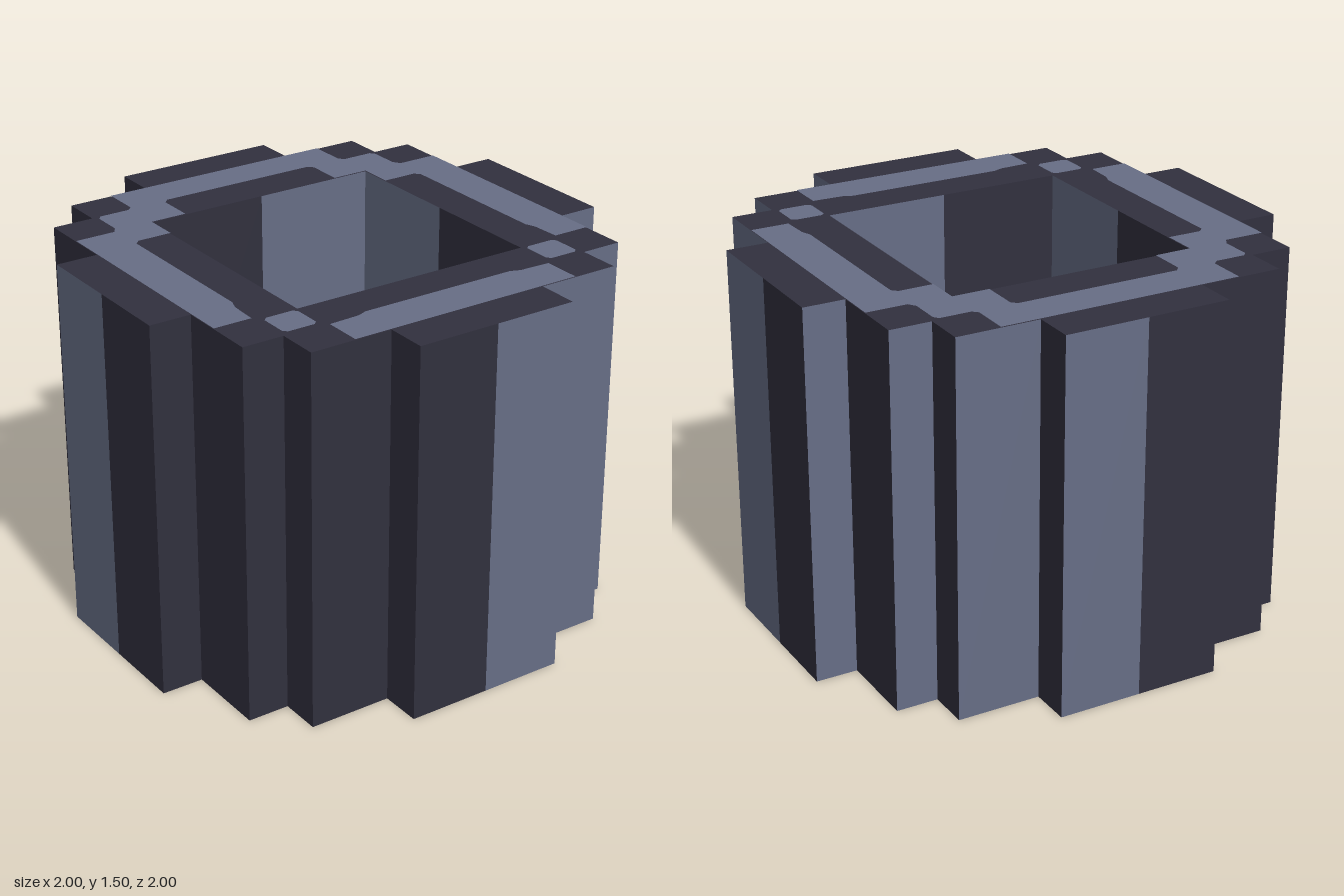
import * as THREE from 'three';

const H = 1.5, LEDGE = 0.17, FLOOR = 0.01;
const A = 1 / 3, B = 2 / 3, C = 5 / 6;

export function createModel() {
  const root = new THREE.Group();
  const slate = new THREE.MeshStandardMaterial({ color: 0x676e86 });
  slate.name = 'slate blue';
  const dark = new THREE.MeshStandardMaterial({ color: 0x31303e });
  dark.name = 'dark plum';

  const add = (name, geometry, material, parent = root) => {
    const mesh = new THREE.Mesh(geometry, material);
    mesh.name = name;
    parent.add(mesh);
  };
  // Plan points are [x, y] with y = -z, listed counterclockwise from above
  const toShape = (pts) => new THREE.Shape(pts.map(([x, y]) => new THREE.Vector2(x, y)));
  const square = (r) => [[-r, -r], [r, -r], [r, r], [-r, r]];
  const flat = (name, shape, y, material) =>
    add(name, new THREE.ShapeGeometry(shape).rotateX(-Math.PI / 2).translate(0, y, 0), material);
  // Light painted face lying just above a surface
  const inlay = (name, pts, y) => flat(name, toShape(pts), y + 0.003, slate);

  // Upright walls along a plan loop; broad sides are split in two tones at the middle
  const walls = (name, pts, y0, y1) => {
    const group = new THREE.Group();
    group.name = name;
    root.add(group);
    pts.forEach((a, i) => {
      const b = pts[(i + 1) % pts.length];
      const mid = [(a[0] + b[0]) / 2, (a[1] + b[1]) / 2];
      const crosses = (a[0] * b[0] < 0 && a[1] === b[1]) || (a[1] * b[1] < 0 && a[0] === b[0]);
      const spans = crosses ? [[a, mid], [mid, b]] : [[a, b]];
      for (const [p, q] of spans) {
        const dx = q[0] - p[0], dy = q[1] - p[1];
        const cx = (p[0] + q[0]) / 2, cz = -(p[1] + q[1]) / 2;
        let light;
        if (Math.abs(dx) > Math.abs(dy)) light = cx > 0;  // front and back faces
        else if (dy > 0) light = cz > 0;                  // faces towards +x
        else light = crosses && cz < 0;                   // faces towards -x
        const g = new THREE.PlaneGeometry(Math.hypot(dx, dy), y1 - y0);
        g.rotateY(Math.atan2(dy, dx)).translate(cx, (y0 + y1) / 2, cz);
        add(light ? 'lightWall' : 'darkWall', g, light ? slate : dark, group);
      }
    });
  };

  // Stepped outline: right half, then mirrored
  const half = [[A, -1], [A, -C], [B, -C], [B, -B], [C, -B], [C, -A], [1, -A],
    [1, A], [C, A], [C, B], [B, B], [B, C], [A, C], [A, 1]];
  const mirror = (pts) => pts.map(([x, y]) => [-x, y]).reverse();
  const outline = [...half, ...mirror(half)];

  // Outer shell
  walls('outerWalls', outline, 0, H);
  const rim = toShape(outline);
  rim.holes.push(toShape(square(0.5)));
  flat('topRim', rim, H, dark);

  // Underside in two tones, with a small dark corner mark in the light half
  const base = (name, shape, material) =>
    add(name, new THREE.ShapeGeometry(shape).rotateX(Math.PI / 2).scale(1, 1, 1), material);
  const flip = (pts, s) => pts.map(([x, y]) => [x * s, -y]);
  const halfPlan = [[0, -1], ...half, [0, 1]];
  const mark = [[0.5, 0.5], [A, 0.5], [0.5, A]];
  const lightBase = toShape(flip(halfPlan, 1));
  lightBase.holes.push(toShape(flip(mark, 1)));
  base('baseLight', lightBase, slate);
  base('baseMark', toShape(flip(mark, 1)), dark);
  base('baseDark', toShape(flip(halfPlan, -1)), dark);

  // Square well with a ledge and a recessed floor
  walls('wellWalls', square(0.5).reverse(), LEDGE, H);
  const ledge = toShape(square(0.5));
  ledge.holes.push(toShape(square(A)));
  flat('wellLedge', ledge, LEDGE, dark);
  walls('recessWalls', square(A).reverse(), FLOOR, LEDGE);
  flat('wellFloor', toShape(square(A)), FLOOR, dark);

  // Light inlay running round the back and sides of the rim
  const band = [[0.33, 0.67], [0.35, 0.65], [0.35, 0.5], [0.5, 0.5], [0.5, 0.36],
    [0.64, 0.36], [0.66, 0.34], [0.66, -0.33], [0.675, -0.37], [0.68, -0.485], [C, -0.485],
    [C, 0.49], [0.67, 0.49], [0.65, 0.52], [0.65, 0.64], [0.635, 0.66], [0.51, 0.66],
    [0.49, 0.68], [0.49, C]];
  inlay('rimBand', [...band, ...mirror(band)], H);

  // Front bar and corner studs
  const bar = [[0.485, -C], [0.485, -0.68], [0.36, -0.675], [0.32, -0.66]];
  inlay('frontBar', [...bar, ...mirror(bar)], H);
  for (const s of [-1, 1]) {
    const r = 0.07, c = 0.055;
    const stud = [[c, -r], [r, -c], [r, c], [c, r], [-c, r], [-r, c], [-r, -c], [-c, -r]];
    inlay('cornerStud', stud.map(([x, y]) => [x + s * 0.582, y - 0.58]), H);
  }

  // Light patches on the ledge
  inlay('backLedgePatch', [[-A, A], [A, A], [A, 0.5], [-A, 0.5]], LEDGE);
  inlay('frontLedgePatch', [[-0.155, -0.5], [0.155, -0.5], [0.155, -A], [-0.155, -A]], LEDGE);

  return root;
}
